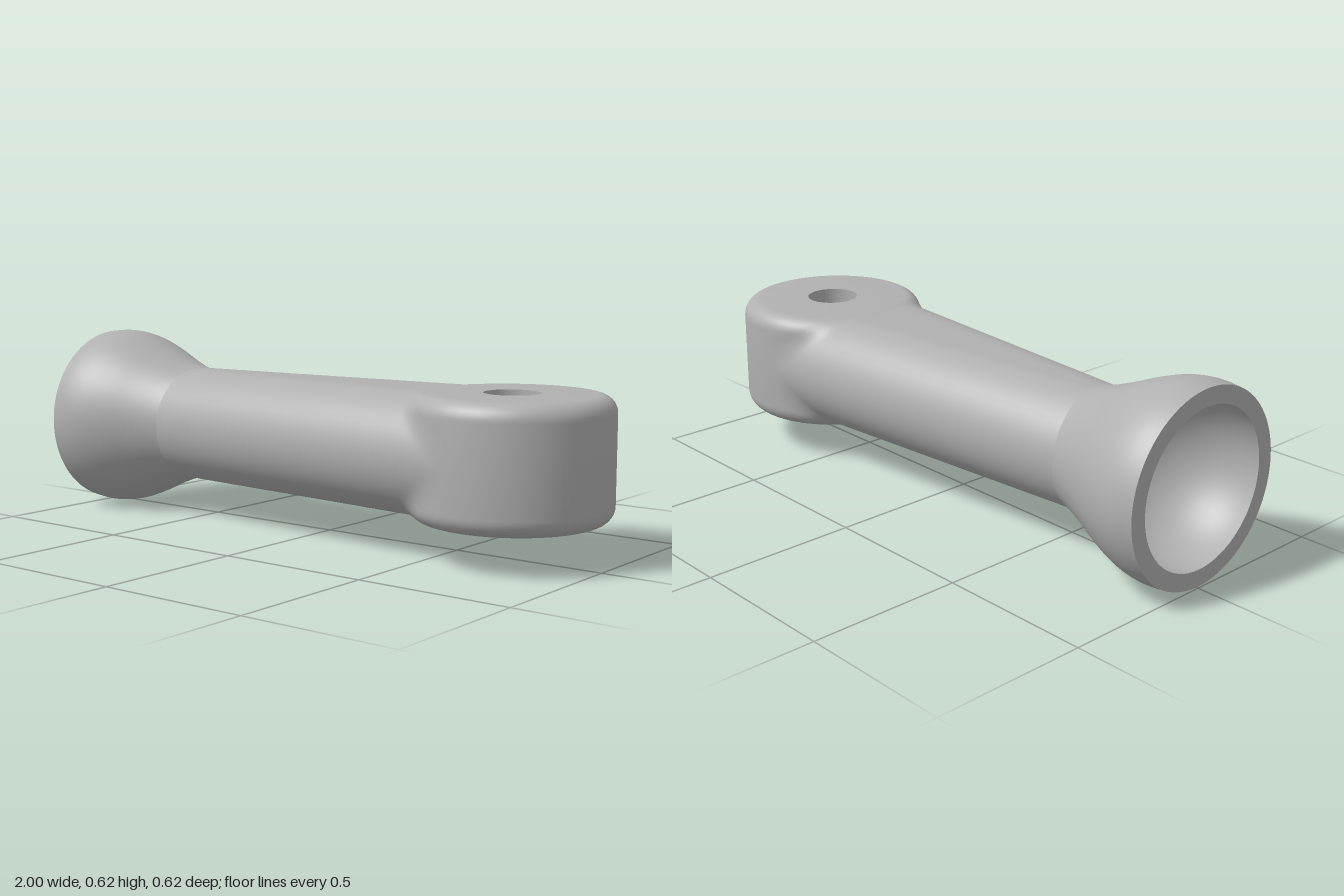
import * as THREE from 'three';
import { toCreasedNormals } from 'three/addons/utils/BufferGeometryUtils.js';

const AXIS_Y = 0.31;                       // height of the long axis
const HALF = 0.193;                        // half height of arm and eye
const EYE = { x: 0.69, r: 0.31, hole: 0.086, fillet: 0.055 };
const v2 = (x, y) => new THREE.Vector2(x, y);

// Revolved part with sharp edges kept
function lathe(points, segments = 96) {
  return toCreasedNormals(new THREE.LatheGeometry(points, segments), 0.6);
}

// Hollow socket: spherical cavity, flat rim, flared outside and neck
function socketGeometry() {
  const points = [];
  const cx = -0.94, r = 0.257, rimAngle = Math.acos(-0.06 / r);
  for (let i = 0; i <= 20; i++) {
    const a = rimAngle * i / 20;
    points.push(v2(r * Math.sin(a), cx + r * Math.cos(a)));
  }
  const outside = new THREE.SplineCurve([
    v2(0.305, -1), v2(0.31, -0.94), v2(0.301, -0.87), v2(0.274, -0.79),
    v2(0.235, -0.7), v2(0.205, -0.62), v2(0.19, -0.56),
  ]);
  points.push(...outside.getPoints(36));
  return lathe(points).rotateZ(-Math.PI / 2);
}

// Round eye with rolled edges and a through hole
function eyeGeometry() {
  const { r, hole, fillet } = EYE;
  const points = [v2(hole, -HALF)];
  for (const side of [-1, 1]) {
    for (let i = 0; i <= 8; i++) {
      const a = (side < 0 ? i - 8 : i) / 8 * Math.PI / 2;
      points.push(v2(r - fillet + fillet * Math.cos(a), side * (HALF - fillet) + fillet * Math.sin(a)));
    }
  }
  points.push(v2(hole, HALF), v2(hole, -HALF));
  return lathe(points);
}

// Half width of the eye at a given x and height, zero outside it
function eyeWidth(x, y) {
  const over = Math.max(0, Math.abs(y) - (HALF - EYE.fillet));
  const r = EYE.r - EYE.fillet + Math.sqrt(Math.max(0, EYE.fillet ** 2 - over ** 2));
  return Math.sqrt(Math.max(0, r * r - (x - EYE.x) ** 2));
}

// Maximum of two values with a rounded transition
function softMax(a, b, k) {
  const h = Math.max(k - Math.abs(a - b), 0);
  return Math.max(a, b) + (k > 0 ? h * h / (4 * k) : 0);
}

// Arm: stadium section that widens towards the eye and blends into it
function armGeometry() {
  const H = HALF - 0.001, X0 = -0.62, RINGS = 90, ARC = 28, FLAT = 8;
  const flatWidth = (x) => 0.2 + 0.088 * (x + 0.6) - HALF;
  const columns = [];
  for (const side of [1, -1]) {
    for (let i = 0; i <= ARC; i++) {
      columns.push({ side, w: 1, a: side * (i / ARC - 0.5) * Math.PI });
    }
    for (let i = 1; i < FLAT; i++) {
      const w = 1 - 2 * i / FLAT;
      columns.push({ side: side * (w < 0 ? -1 : 1), w: Math.abs(w), a: side * Math.PI / 2 });
    }
  }
  const positions = [], index = [], n = columns.length;
  for (let i = 0; i <= RINGS; i++) {
    columns.forEach(({ side, w, a }, j) => {
      const nominal = w * flatWidth(0.6) + H * Math.cos(a);
      const xEnd = 0.55 + 0.1 * Math.min(1, nominal / 0.3);  // stops short of the hole
      const x = X0 + (xEnd - X0) * i / RINGS;
      const y = H * Math.sin(a);
      const plain = flatWidth(x) + H * Math.cos(a);
      const z = w * softMax(plain, eyeWidth(x, y), 0.05 * Math.abs(y) / H);
      positions.push(x, y, side * z);
      if (i < RINGS) {
        const p = i * n + j, q = i * n + (j + 1) % n;
        index.push(p, p + n, q, q, p + n, q + n);
      }
    });
  }
  const geometry = new THREE.BufferGeometry();
  geometry.setAttribute('position', new THREE.Float32BufferAttribute(positions, 3));
  geometry.setIndex(index);
  geometry.computeVertexNormals();
  return geometry;
}

export function createModel() {
  const model = new THREE.Group();
  model.name = 'socketLink';
  const grey = new THREE.MeshStandardMaterial({ color: 0xb0b0b0 });
  grey.name = 'plainGrey';

  const add = (name, geometry, x = 0) => {
    const mesh = new THREE.Mesh(geometry, grey);
    mesh.name = name;
    mesh.position.set(x, AXIS_Y, 0);
    model.add(mesh);
  };
  add('socket', socketGeometry());
  add('arm', armGeometry());
  add('eye', eyeGeometry(), EYE.x);
  return model;
}
